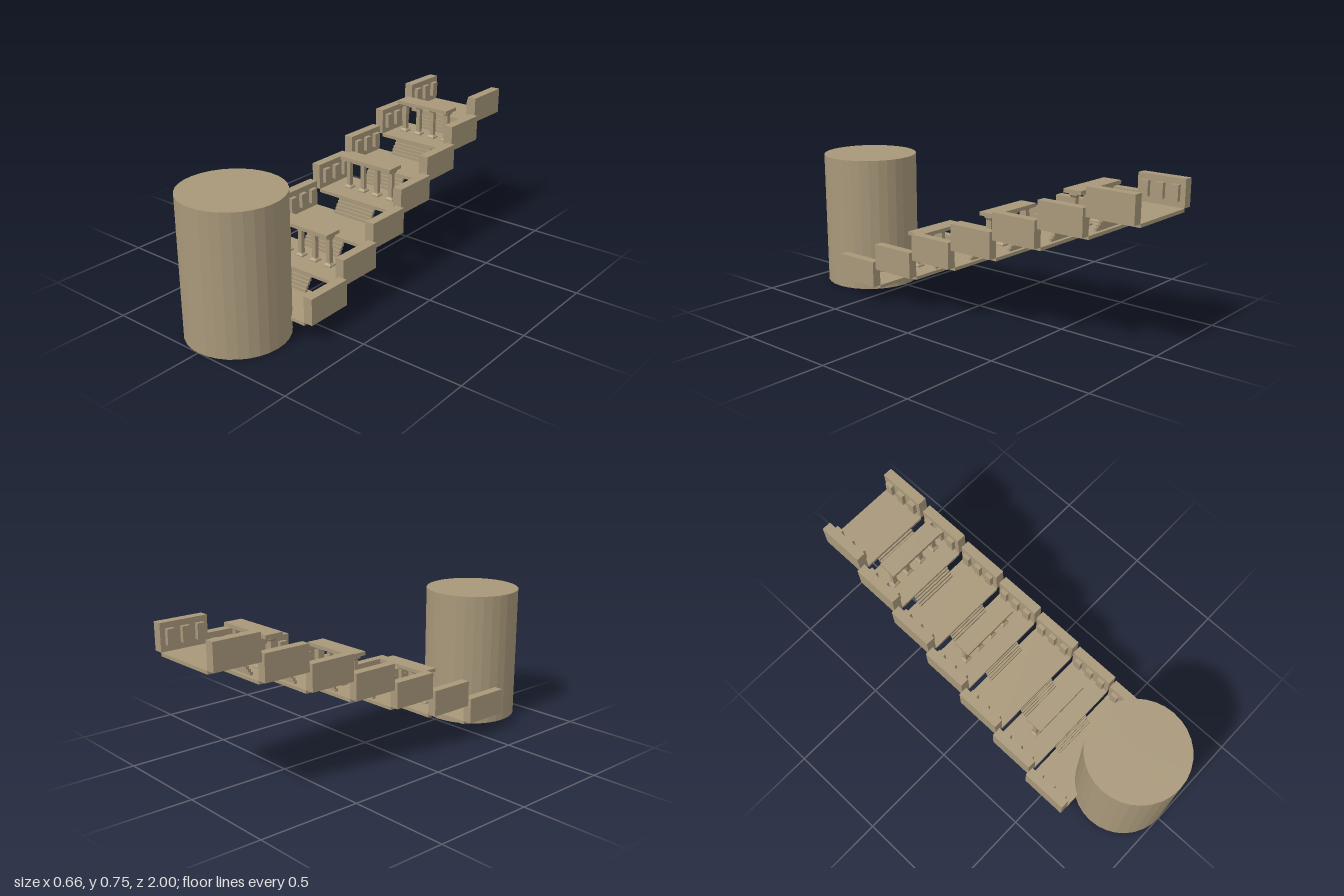
import * as THREE from 'three';

const TIERS = 7, DEPTH = 0.2344, RISE = 0.0882, SLAB = 0.016;

export function createModel() {
  const model = new THREE.Group();
  model.name = 'terracedGarden';
  const stone = new THREE.MeshStandardMaterial({ color: 0xa8987a, flatShading: true });
  stone.name = 'sandstone';

  const add = (parent, name, geometry, x, y, z) => {
    const mesh = new THREE.Mesh(geometry, stone);
    mesh.name = name;
    mesh.position.set(x, y, z);
    parent.add(mesh);
    return mesh;
  };
  // Box standing on y
  const box = (parent, name, w, h, d, x, y, z) =>
    add(parent, name, new THREE.BoxGeometry(w, h, d), x, y + h / 2, z);

  // Round tower in front of the lowest tier
  add(model, 'tower', new THREE.CylinderGeometry(0.24, 0.24, 0.675, 32), 0, 0.3375, 0.76);

  // Square column with flared base and capital
  const q = Math.SQRT2;
  const columnProfile = [[0, 0], [0.02, 0], [0.02, 0.006], [0.011, 0.016],
    [0.011, 0.138], [0.019, 0.149], [0.019, 0.156], [0, 0.156]]
    .map(([r, y]) => new THREE.Vector2(r * q, y));
  const columnGeometry = new THREE.LatheGeometry(columnProfile, 4, Math.PI / 4);

  for (let i = 0; i < TIERS; i++) {
    const tier = new THREE.Group();
    tier.name = 'tier' + (i + 1);
    tier.position.set(0, 0.073 + i * RISE, 0.64 - DEPTH * (i + 0.5));
    model.add(tier);
    const inner = 0.283 - i * 0.0179;

    // Floor and side walls, with three raised panels on each inner face
    box(tier, 'floor', inner * 2, SLAB, DEPTH, 0, 0, 0);
    for (const side of [-1, 1]) {
      box(tier, 'sideWall', 0.046, 0.128, DEPTH, side * (inner + 0.023), SLAB, 0);
      for (const k of [-1, 0, 1]) {
        box(tier, 'wallPanel', 0.02, 0.072, 0.038, side * (inner - 0.01), SLAB + 0.029, k * 0.074);
      }
    }

    // Colonnade on every second tier
    if (i % 2 === 1) {
      for (const x of [-0.13, -0.043, 0.043, 0.13]) {
        add(tier, 'column', columnGeometry, x, SLAB, 0);
      }
      box(tier, 'colonnadeRoof', 0.306, 0.018, 0.092, 0, SLAB + 0.156, 0);
    }

    // Stair climbing to the next tier
    if (i < TIERS - 1) {
      const steps = 6, h = RISE / steps;
      for (let k = 0; k < steps; k++) {
        box(tier, 'stairStep', 0.22, h, 0.014, 0, SLAB + k * h, -DEPTH / 2 + 0.024 - k * 0.0095);
      }
    }
  }
  return model;
}
